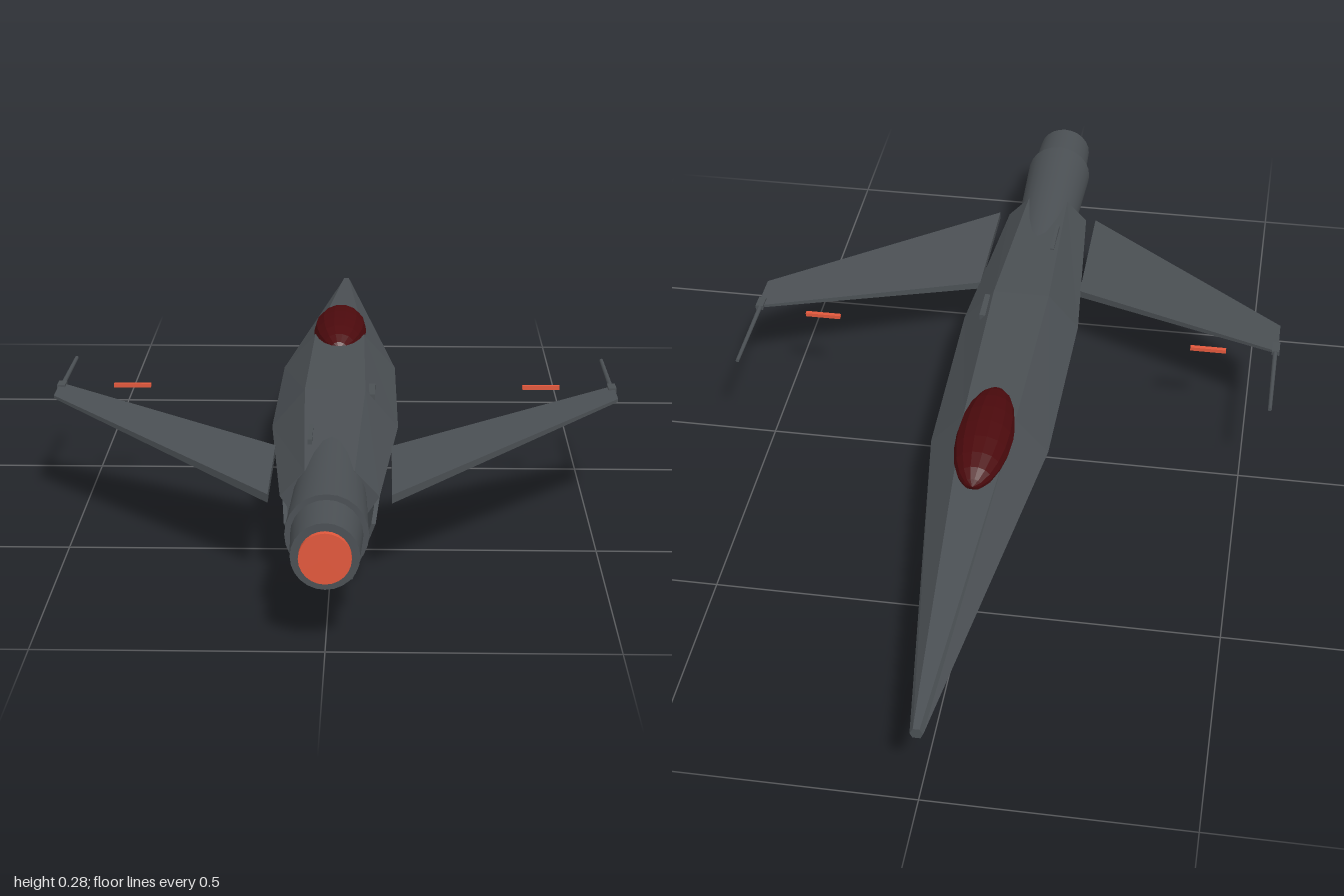
import * as THREE from 'three';

const grey = new THREE.MeshStandardMaterial({ name: 'hull grey', color: 0x4b5054 });
const darkRed = new THREE.MeshStandardMaterial({ name: 'canopy dark red', color: 0x4c0a0d });
const orange = new THREE.MeshStandardMaterial({ name: 'glow orange', color: 0xe2583c });

// Flat-shaded solid through a list of rings, each with the same number of [x, y, z] points
function loft(rings) {
  const n = rings[0].length, last = rings.length - 1, pos = [];
  const tri = (a, b, c) => pos.push(...a, ...b, ...c);
  for (let r = 0; r < last; r++) {
    for (let i = 0; i < n; i++) {
      const j = (i + 1) % n, p = rings[r], q = rings[r + 1];
      tri(p[i], p[j], q[i]);
      tri(p[j], q[j], q[i]);
    }
  }
  for (let i = 1; i < n - 1; i++) {
    tri(rings[0][0], rings[0][i + 1], rings[0][i]);
    tri(rings[last][0], rings[last][i], rings[last][i + 1]);
  }
  const g = new THREE.BufferGeometry();
  g.setAttribute('position', new THREE.Float32BufferAttribute(pos, 3));
  g.computeVertexNormals();
  return g;
}

// Mirrors rings to the right side, keeping faces outward
const sided = (rings, s) => s > 0 ? rings
  : rings.map(r => r.map(([x, y, z]) => [-x, y, z]).reverse());

export function createModel() {
  const model = new THREE.Group();
  const add = (name, geo, mat, x = 0, y = 0, z = 0) => {
    const m = new THREE.Mesh(geo, mat);
    m.name = name;
    m.position.set(x, y, z);
    model.add(m);
    return m;
  };
  // Cylinder along z from z0 to z1
  const tube = (r0, r1, z0, z1, seg = 24) =>
    new THREE.CylinderGeometry(r1, r0, z1 - z0, seg).rotateX(Math.PI / 2).translate(0, 0, (z0 + z1) / 2);

  // Six-sided fuselage: z, half width, top half width, bottom half width, top y, bottom y
  const sections = [
    [-1, 0.012, 0.006, 0.007, 0.178, 0.157],
    [-0.19, 0.12, 0.053, 0.072, 0.241, 0.105],
    [0.25, 0.125, 0.06, 0.075, 0.243, 0.1],
    [0.68, 0.09, 0.045, 0.055, 0.215, 0.115],
  ];
  add('fuselage', loft(sections.map(([z, w, t, b, y1, y0]) => [
    [w, 0.167, z], [t, y1, z], [-t, y1, z], [-w, 0.167, z], [-b, y0, z], [b, y0, z],
  ])), grey);

  // Engine
  add('tailPipe', tube(0.06, 0.073, 0.5, 0.88), grey, 0, 0.166);
  add('nozzle', tube(0.063, 0.059, 0.88, 0.988), grey, 0, 0.166);
  add('exhaustGlow', tube(0.045, 0.045, 0.985, 1), orange, 0, 0.166);

  // Canopy
  const dome = new THREE.SphereGeometry(1, 14, 10).rotateX(Math.PI / 2)
    .scale(0.057, 0.045, 0.157).toNonIndexed();
  dome.computeVertexNormals();
  add('canopy', dome, darkRed, 0, 0.235, -0.247);

  // Small hatches on the back
  add('sideHatch', new THREE.BoxGeometry(0.018, 0.012, 0.08), grey, 0.07, 0.228, 0.21);
  add('spineRib', new THREE.BoxGeometry(0.008, 0.01, 0.1), grey, -0.04, 0.228, 0.5);

  for (const s of [1, -1]) {
    const side = s > 0 ? 'left' : 'right';

    // Forward-swept wing
    const rib = (x, y, t, z0, z1) => [[x, y - t, z0], [x, y + t, z0], [x, y + t, z1], [x, y - t, z1]];
    add(side + 'Wing', loft(sided([
      rib(0.112, 0.162, 0.008, 0.385, 0.68),
      rib(0.56, 0.222, 0.003, 0.145, 0.24),
    ], s)), grey);

    // Wingtip rail and its probe
    add(side + 'TipRail', new THREE.BoxGeometry(0.016, 0.01, 0.035), grey, s * 0.555, 0.223, 0.158);
    add(side + 'TipProbe', tube(0.004, 0.005, -0.055, 0.16, 8), grey, s * 0.554, 0.223);

    // Glowing bar ahead of the wing
    add(side + 'GlowBar', new THREE.BoxGeometry(0.075, 0.008, 0.009), orange, s * 0.414, 0.219, 0.14);

    // Belly fin leaning inward
    const outline = [[0.037, 0, 0.66], [0.05, 0.033, 0.485], [0.091, 0.147, 0.515], [0.079, 0.115, 0.68]];
    add(side + 'BellyFin', loft(sided([-0.004, 0.004].map(
      d => outline.map(([x, y, z]) => [x + d, y, z])), s)), grey);
  }
  return model;
}
